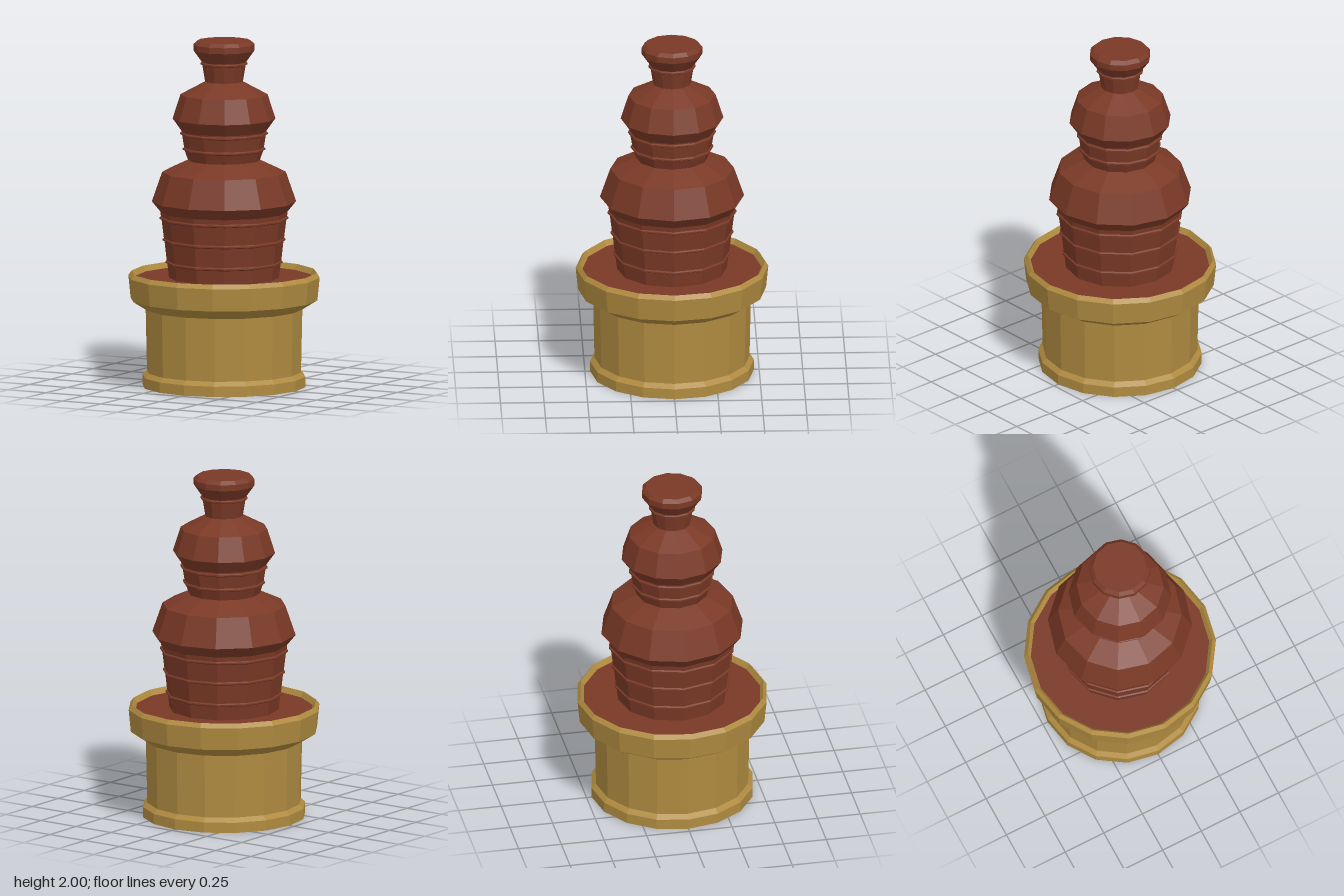
import * as THREE from 'three';

const gold = new THREE.MeshStandardMaterial({ color: 0xb08b40 });
gold.name = 'gold';
const chocolate = new THREE.MeshStandardMaterial({ color: 0x7a3926 });
chocolate.name = 'chocolate';

// Faceted solid of revolution from [radius, height] pairs, listed bottom to top
function turned(name, profile, sides, material) {
  const points = profile.map(([r, y]) => new THREE.Vector2(r, y));
  const geometry = new THREE.LatheGeometry(points, sides).toNonIndexed();
  geometry.computeVertexNormals();
  const mesh = new THREE.Mesh(geometry, material);
  mesh.name = name;
  return mesh;
}

// Thin raised lip around a stem: upper face flush, small step in below
function lip(r, y) {
  return [[r - 0.012, y - 0.012], [r, y - 0.006], [r, y + 0.002], [r - 0.008, y + 0.008]];
}

export function createModel() {
  const group = new THREE.Group();
  group.name = 'chocolateFountain';

  // Pedestal with a plinth and a flared basin
  group.add(turned('basin', [
    [0, 0], [0.47, 0], [0.47, 0.06], [0.445, 0.085],
    [0.453, 0.45], [0.54, 0.505], [0.553, 0.635], [0.533, 0.66],
    [0.512, 0.625],
  ], 16, gold));

  // Liquid surface inside the rim
  group.add(turned('pool', [[0.514, 0.628], [0, 0.628]], 16, chocolate));

  // Lower tier: ribbed stem and wide dome
  group.add(turned('lowerTier', [
    [0.315, 0.62], ...lip(0.337, 0.72), ...lip(0.353, 0.85), ...lip(0.37, 0.975),
    [0.365, 1.01], [0.414, 1.07], [0.355, 1.24], [0.205, 1.31],
  ], 12, chocolate));

  // Middle tier: ribbed stem and smaller dome
  group.add(turned('middleTier', [
    [0.205, 1.305], ...lip(0.237, 1.375), ...lip(0.252, 1.465),
    [0.245, 1.48], [0.295, 1.55], [0.25, 1.69], [0.108, 1.765],
  ], 12, chocolate));

  // Top spout
  group.add(turned('spout', [
    [0.108, 1.76], ...lip(0.136, 1.87), [0.176, 1.945], [0.176, 1.98],
    [0.155, 2], [0, 2],
  ], 12, chocolate));

  return group;
}
